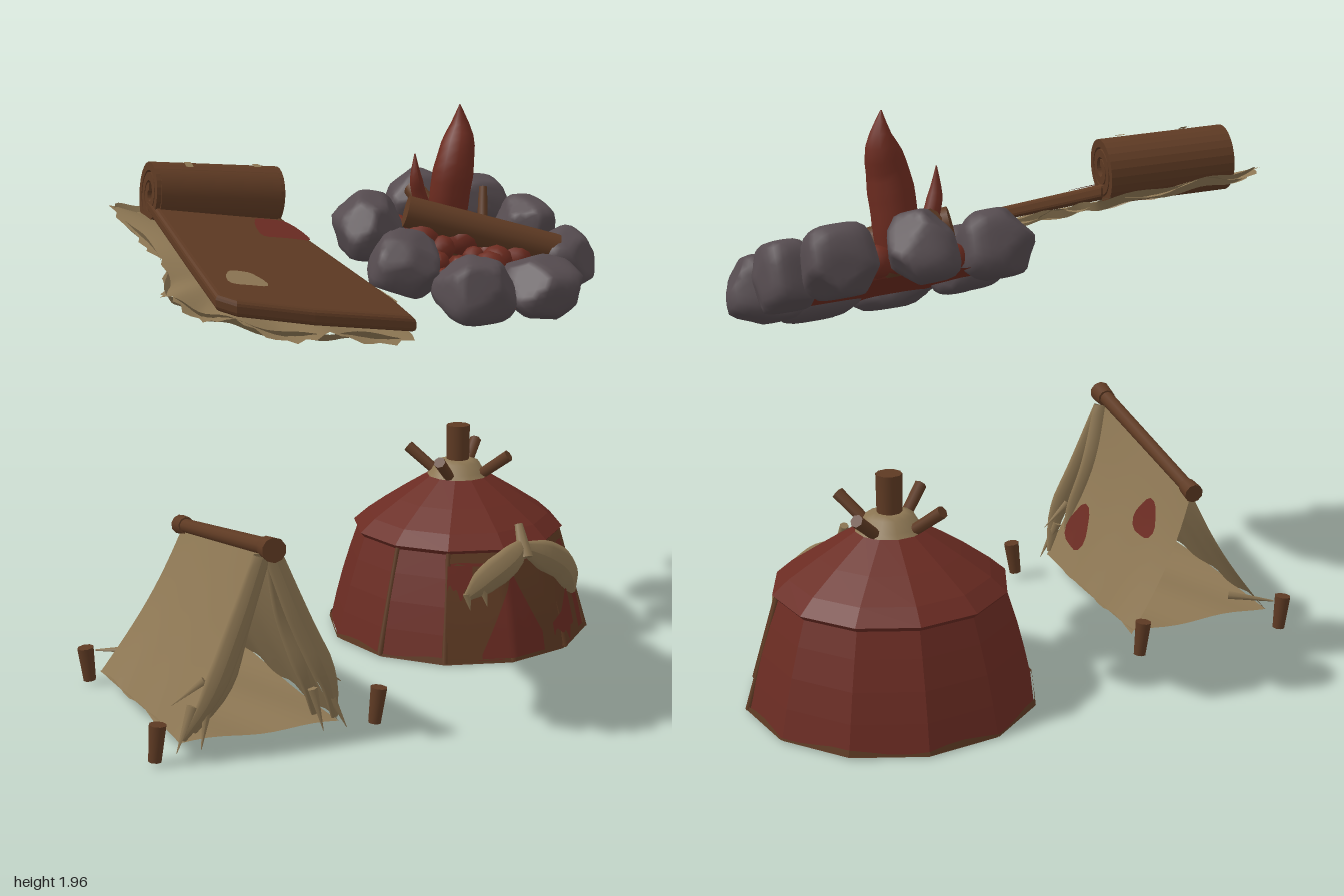
import * as THREE from 'three';
import { mergeVertices } from 'three/addons/utils/BufferGeometryUtils.js';

const paint = (name, color) => Object.assign(new THREE.MeshStandardMaterial({ color, side: THREE.DoubleSide }), { name });
const V = (x, y, z) => new THREE.Vector3(x, y, z);
const lerp = THREE.MathUtils.lerp;

export function createModel() {
  const red = paint('red cloth', 0x6a2b22), brown = paint('brown wood', 0x5e3a23);
  const tan = paint('tan canvas', 0x8c7653), grey = paint('grey stone', 0x564c50);
  const ember = paint('ember red', 0x6c2b1f);
  let seed = 7;
  const rnd = () => (seed = (seed * 16807) % 2147483647) / 2147483647;
  const root = new THREE.Group();
  const group = (name) => { const g = new THREE.Group(); g.name = name; root.add(g); return g; };
  const add = (g, name, geo, mat) => {
    const m = new THREE.Mesh(geo, mat); m.name = name; g.add(m); return m;
  };

  // Surface from a rule fn(u, v) -> Vector3
  const sheet = (fn, nu, nv) => {
    const geo = new THREE.PlaneGeometry(1, 1, nu, nv), p = geo.attributes.position;
    for (let i = 0; i < p.count; i++) {
      const q = fn(p.getX(i) + 0.5, 0.5 - p.getY(i));
      p.setXYZ(i, q.x, q.y, q.z);
    }
    geo.computeVertexNormals();
    return geo;
  };
  // Tube along points with a radius list, optionally flattened in z
  const taper = (pts, radii, sides = 8, flat = 1) => {
    const curve = new THREE.CatmullRomCurve3(pts), n = 14;
    const geo = new THREE.TubeGeometry(curve, n, 1, sides), p = geo.attributes.position;
    for (let i = 0; i < p.count; i++) {
      const t = Math.floor(i / (sides + 1)) / n, c = curve.getPointAt(t);
      const k = t * (radii.length - 1), a = Math.min(Math.floor(k), radii.length - 2);
      const r = lerp(radii[a], radii[a + 1], k - a);
      p.setXYZ(i, c.x + (p.getX(i) - c.x) * r, c.y + (p.getY(i) - c.y) * r, c.z + (p.getZ(i) - c.z) * r * flat);
    }
    geo.computeVertexNormals();
    return geo;
  };
  // Capped log between two points
  const log = (g, name, a, b, r0, r1 = r0, mat = brown, sides = 10) => {
    const m = add(g, name, new THREE.CylinderGeometry(r1, r0, a.distanceTo(b), sides), mat);
    m.position.copy(a).lerp(b, 0.5);
    m.quaternion.setFromUnitVectors(V(0, 1, 0), b.clone().sub(a).normalize());
  };

  // ---------- Bedroll ----------
  const bed = group('bedroll');
  const bedY = (x, z) => 1.53 - 0.14 * x - 0.255 * z;
  const outline = new THREE.CatmullRomCurve3([
    [-.72, -.21], [-.5, -.25], [-.29, -.22], [-.25, 0], [-.2, .2], [-.13, .42], [-.15, .62], [-.2, .78],
    [-.4, .79], [-.58, .83], [-.75, .76], [-.86, .69], [-.91, .58], [-.85, .4], [-.84, .1], [-.86, -.17],
  ].map(([x, z]) => V(x, 0, z)), true);
  add(bed, 'groundCloth', sheet((u, v) => {
    const e = outline.getPoint(u % 1), i = Math.round(u * 96) % 96;
    const jag = v * (1 + (v > 0.95 ? 0.08 * ((i * 7 % 5) / 5 - 0.45) : 0));
    const x = lerp(-.5, e.x, jag), z = lerp(.28, e.z, jag);
    return V(x, bedY(x, z) + (0.014 * Math.sin(u * Math.PI * 20) - .012) * v ** 4, z);
  }, 96, 8), tan);
  add(bed, 'groundClothHem', sheet((u, v) => {
    const e = outline.getPoint(u % 1), k = 0.97 - 0.05 * v;
    const x = lerp(-.5, e.x, k), z = lerp(.28, e.z, k);
    return V(x, bedY(x, z) - 0.03 * v + 0.006 * Math.sin(u * Math.PI * 26), z);
  }, 96, 2), tan);
  const matShape = new THREE.Shape([[-.74, -.08], [-.33, -.08], [-.31, .1], [-.2, .62], [-.19, .74], [-.5, .75], [-.73, .73], [-.77, .7], [-.76, .4]]
    .map(([x, z]) => new THREE.Vector2(x, z)));
  const mattress = new THREE.ExtrudeGeometry(matShape, { depth: .02, bevelSize: .018, bevelThickness: .015, bevelSegments: 3 });
  mattress.rotateX(Math.PI / 2);
  const mp = mattress.attributes.position;
  for (let i = 0; i < mp.count; i++) mp.setY(i, mp.getY(i) + .04 + bedY(mp.getX(i), mp.getZ(i)));
  mattress.computeVertexNormals();
  add(bed, 'mattress', mattress, brown);
  const bedPatch = (name, x0, z0, rx, rz, pow, mat) => add(bed, name, sheet((u, v) => {
    const a = u * Math.PI * 2, w = v * (1 + 0.12 * Math.sin(a * 3));
    const c = Math.cos(a), s = Math.sin(a);
    const x = x0 + rx * w * Math.sign(c) * Math.abs(c) ** pow, z = z0 + rz * w * Math.sign(s) * Math.abs(s) ** pow;
    return V(x, bedY(x, z) + .059, z);
  }, 20, 1), mat);
  bedPatch('tanPatch', -.65, .57, .06, .055, .7, tan);
  bedPatch('redPatch', -.37, .1, .08, .085, .5, red);
  // Rolled end, a spiral band
  const outer = [], inner = [];
  for (let i = 0; i <= 64; i++) {
    const t = i / 64, a = -Math.PI / 2 + t * Math.PI * 5, r = .12 - .085 * t;
    outer.push(new THREE.Vector2(Math.cos(a) * r, Math.sin(a) * r));
    inner.push(new THREE.Vector2(Math.cos(a) * (r - .027), Math.sin(a) * (r - .027)));
  }
  const spiral = new THREE.ExtrudeGeometry(new THREE.Shape([...outer, ...inner.reverse()]), { depth: .44, bevelEnabled: false });
  spiral.translate(0, 0, -.22).rotateY(Math.PI / 2);
  const roll = new THREE.Group(); roll.name = 'rolledEnd';
  roll.position.set(-.535, 1.716, -.085); roll.rotation.z = -.07; bed.add(roll);
  add(roll, 'rollSpiral', spiral, brown);
  add(roll, 'rollCore', new THREE.CylinderGeometry(.1, .1, .41, 20).rotateZ(Math.PI / 2), brown);
  for (const [x, a] of [[-.1, .3], [.14, .15]])
    add(roll, 'rollPatch', sheet((u, v) => V(x + (u - .5) * .025, .108 * Math.cos(a + (v - .5) * .4), .108 * Math.sin(a + (v - .5) * .4)), 1, 3), tan);

  // ---------- Campfire ----------
  const fire = group('campfire');
  const fireY = (x, z) => 1.406 - .1 * x - .36 * z;
  const rocks = [[.46, -.68, .1, .1], [.71, -.665, .105, .1], [.84, -.5, .095, .11], [.865, -.24, .11, .13],
    [.66, -.02, .14, .135], [.39, .01, .13, .12], [.185, -.14, .115, .12], [.165, -.43, .12, .13]];
  rocks.forEach(([x, z, sx, sz], n) => {
    let geo = new THREE.IcosahedronGeometry(1, 5);
    geo.deleteAttribute('normal'); geo.deleteAttribute('uv');
    geo = mergeVertices(geo, 1e-3);
    // Block shape with chipped flat faces
    const cuts = Array.from({ length: 9 }, () => V(rnd() - .5, rnd() - .5, rnd() - .5).normalize());
    const p = geo.attributes.position, q = V(0, 0, 0);
    for (let i = 0; i < p.count; i++) {
      q.fromBufferAttribute(p, i);
      q.multiplyScalar((Math.abs(q.x) ** 4 + Math.abs(q.y) ** 4 + Math.abs(q.z) ** 4) ** -.25);
      for (const d of cuts) q.addScaledVector(d, -Math.max(0, q.dot(d) - .95));
      p.setXYZ(i, q.x * (1 - .1 * q.y), q.y, q.z);
    }
    geo.scale(sx * 1.02, .108, sz * 1.02);
    geo.computeVertexNormals();
    const m = add(fire, 'stone', geo, grey);
    m.position.set(x, fireY(x, z), z);
    m.rotation.set(.34, (n % 3 - 1) * .3, -.1);
  });
  const slope = (x, z, dy) => V(x, fireY(x, z) + dy, z);
  add(fire, 'emberBed', sheet((u, v) => {
    const a = u * Math.PI * 2;
    return slope(.52 + .33 * v * Math.cos(a), -.33 + .33 * v * Math.sin(a), -.075);
  }, 28, 1), ember);
  for (let i = 0; i < 36; i++) {
    const a = i * 2.4, r = .27 * Math.sqrt((i + .5) / 36), size = .035 + .03 * rnd();
    const m = add(fire, 'coal', new THREE.IcosahedronGeometry(size, 1), ember);
    m.position.copy(slope(.52 + r * Math.cos(a), -.33 + r * Math.sin(a), size - .07 + .05 * (1 - r / .27)));
    m.rotation.y = a;
  }
  log(fire, 'frontLog', V(.28, 1.6, -.35), V(.81, 1.45, -.19), .058, .06, brown, 12);
  log(fire, 'backLog', V(.47, 1.47, -.3), V(.4, 1.66, -.56), .05, .038);
  log(fire, 'twig', V(.68, 1.53, -.54), V(.7, 1.65, -.58), .02, .016);
  add(fire, 'flame', taper([V(.48, 1.48, -.42), V(.475, 1.64, -.4), V(.49, 1.77, -.385), V(.515, 1.88, -.4), V(.51, 1.975, -.39)],
    [.05, .074, .076, .06, .002], 10), ember);
  add(fire, 'smallFlame', taper([V(.42, 1.52, -.42), V(.37, 1.64, -.43), V(.35, 1.71, -.42), V(.345, 1.8, -.42)], [.03, .03, .026, .002]), ember);

  // ---------- Ridge tent ----------
  const tent = group('tent');
  const ridge = (u) => V(lerp(-.59, -.63, u), lerp(.69, .555, u) - .015 * Math.sin(Math.PI * u), lerp(.57, -.2, u));
  const foot = { left: (u) => V(lerp(-.88, -.94, u), .08, lerp(.55, -.19, u)), right: (u) => V(lerp(-.35, -.4, u), .075, lerp(.56, -.24, u)) };
  const panel = (side, off = 0) => (u, v) => {
    const s = side === 'right' ? 1 : -1, p = ridge(u).lerp(foot[side](u), v);
    p.x += s * (off - .025 * Math.sin(Math.PI * v) * (1 - .4 * Math.sin(Math.PI * u)));
    p.y += off * .5 + .01 * Math.sin(u * 17) * v * v;
    return p;
  };
  for (const side of ['left', 'right']) {
    add(tent, side + 'Panel', sheet(panel(side), 16, 12), tan);
    const s = side === 'right' ? 1 : -1, f = foot[side](0);
    // Gathered front flaps with ragged ends
    for (let k = 0; k < 2; k++) {
      const d = k * .05;
      add(tent, side + 'FrontFlap', taper([V(-.59 + s * .02, .66, .57), V(-.59 + s * (.1 - d * .5), .45, .575 - d),
        V(-.59 + s * (.2 - d), .22, .575 - d), V(f.x - s * (d + .01), .09, .55 - d)], [.03, .038, .04, .012], 8, .45), tan);
      log(tent, 'flapRag', V(f.x - s * (.04 + d), .2, .56), V(f.x - s * (d * 1.6 - .02), .06, .58), .018, .001, tan, 5);
    }
    log(tent, 'flapRag', V(f.x - s * .08, .28, .56), V(f.x + s * .02, .2, .53), .014, .001, tan, 5);
  }
  add(tent, 'floor', sheet((u, v) => {
    const p = foot.left(u).lerp(foot.right(u), v);
    p.y += .006 * Math.sin(v * 9 + u * 5);
    return p;
  }, 8, 12), tan);
  const tentPatch = (u0, v0, r) => add(tent, 'redPatch', sheet((u, v) => {
    const a = u * Math.PI * 2, w = v * r * (1 + .12 * Math.sin(a * 3));
    return panel('right', .009)(u0 + w * Math.cos(a), v0 + w * 1.25 * Math.sin(a));
  }, 18, 3), red);
  tentPatch(.185, .74, .105);
  tentPatch(.72, .37, .1);
  log(tent, 'ridgePole', V(-.59, .697, .6), V(-.63, .565, -.19), .028, .024);
  log(tent, 'ridgeKnob', V(-.59, .698, .635), V(-.59, .69, .56), .04, .034);
  log(tent, 'ridgeBackKnob', V(-.628, .57, -.16), V(-.632, .56, -.22), .03, .034);
  log(tent, 'guyRag', V(-.8, .14, -.17), V(-.94, .13, -.25), .016, .003, tan, 5);
  for (const [x, z, y, lean] of [[-.95, .53, .085, .006], [-.97, -.25, .085, -.006], [-.41, -.31, .08, -.006], [-.2, .52, .095, .008]])
    log(tent, 'stake', V(x - lean, y - .06, z), V(x + lean, y + .06, z), .022, .029, brown, 8);

  // ---------- Round tent ----------
  const yurt = group('roundTent');
  yurt.position.set(.495, 0, -.345);
  const N = 12, step = Math.PI * 2 / N;
  const wall = (a, y, off = 0) => {
    const k = (y - .02) / .38, f = ((a % step) + step) % step;
    const r = (lerp(.485, .378, k) + .008 * Math.sin(Math.PI * k)) * Math.cos(step / 2) / Math.cos(f - step / 2) + off;
    return V(r * Math.sin(a), y, r * Math.cos(a));
  };
  const flat = (geo) => { const g = geo.toNonIndexed(); g.computeVertexNormals(); return g; };
  add(yurt, 'wall', flat(sheet((u, v) => wall(u * Math.PI * 2, lerp(.41, .02, v)), N, 4)), red);
  add(yurt, 'base', new THREE.CylinderGeometry(.475, .48, .015, N), brown).position.y = .02;
  add(yurt, 'hem', flat(sheet((u, v) => wall(u * Math.PI * 2, .02 + .014 * v * (1 + .6 * Math.sin(u * 50)), .006), N * 4, 1)), brown);
  add(yurt, 'roof', flat(new THREE.LatheGeometry([[.37, .385], [.395, .412], [.34, .46], [.24, .525], [.11, .605], [.07, .61]]
    .map(([x, y]) => new THREE.Vector2(x, y)), N)), red);
  // Posts show bare wood beside the doorway
  for (let i = -2; i <= 3; i++)
    log(yurt, 'wallPost', wall(i * step, .02), wall(i * step, .4), .012, .009, brown, 6);
  // Doorway boards and torn red cloth
  const strip = (name, a0, a1, low, high, off, mat) => add(yurt, name,
    sheet((u, v) => { const a = lerp(a0, a1, u); return wall(a, lerp(low(u), high(u), v), off); }, 16, 3), mat);
  const torn = (base, amp, f) => (u) => base + amp * (Math.sin(u * f) + .6 * Math.sin(u * f * 2.3));
  strip('rail', -step, step * 3, torn(.365, .008, 30), () => .4, .004, brown);
  strip('doorway', -step, step * 1.7, () => .03, torn(.35, .012, 14), .006, brown);
  strip('tornCloth', -.24, .3, () => .035, (u) => .05 + .28 * (1 - Math.abs(u - .55) * 1.8), .013, red);
  strip('tornCloth', -step, -.3, torn(.27, .02, 9), () => .36, .012, red);
  strip('tornCloth', .42, .75, torn(.07, .02, 8), (u) => .12 + .1 * u, .012, red);
  strip('tornCloth', .66, step * 1.7, torn(.25, .03, 9), () => .36, .012, red);
  // Tied back door flaps lying along the wall
  const flap = (...p) => p.map(([a, y, off]) => wall(a, y, off));
  add(yurt, 'leftDoorFlap', taper(flap([.2, .41, .04], [.42, .37, .035], [.66, .3, .03], [.85, .185, .02]), [.025, .055, .062, .055, .012], 8, .5), tan);
  add(yurt, 'rightDoorFlap', taper(flap([.18, .42, .04], [.02, .38, .045], [-.18, .32, .035], [-.36, .255, .025]), [.025, .055, .06, .052, .016], 8, .5), tan);
  log(yurt, 'doorTie', V(.075, .38, .42), V(.075, .49, .36), .028, .015, tan, 7);
  for (const [a, y] of [[-.36, .27], [-.22, .28], [.8, .25], [.7, .28]])
    log(yurt, 'flapRag', wall(a, y, .03), wall(a + .03, y - .06, .02), .016, .001, tan, 5);
  // Smoke hole, post and crossed sticks
  add(yurt, 'collar', new THREE.LatheGeometry([[.135, .585], [.1, .615], [.08, .65], [.05, .66], [.001, .66]]
    .map(([x, y]) => new THREE.Vector2(x, y)), 12), tan);
  log(yurt, 'centrePost', V(0, .62, 0), V(0, .79, 0), .042, .044);
  for (let i = 0; i < 4; i++) {
    const a = Math.PI / 4 + i * Math.PI / 2, s = Math.sin(a), c = Math.cos(a);
    log(yurt, 'roofStick', V(s * .08, .6, c * .08), V(s * .2, .69, c * .2), .02, .022, brown, 7);
  }
  return root;
}
